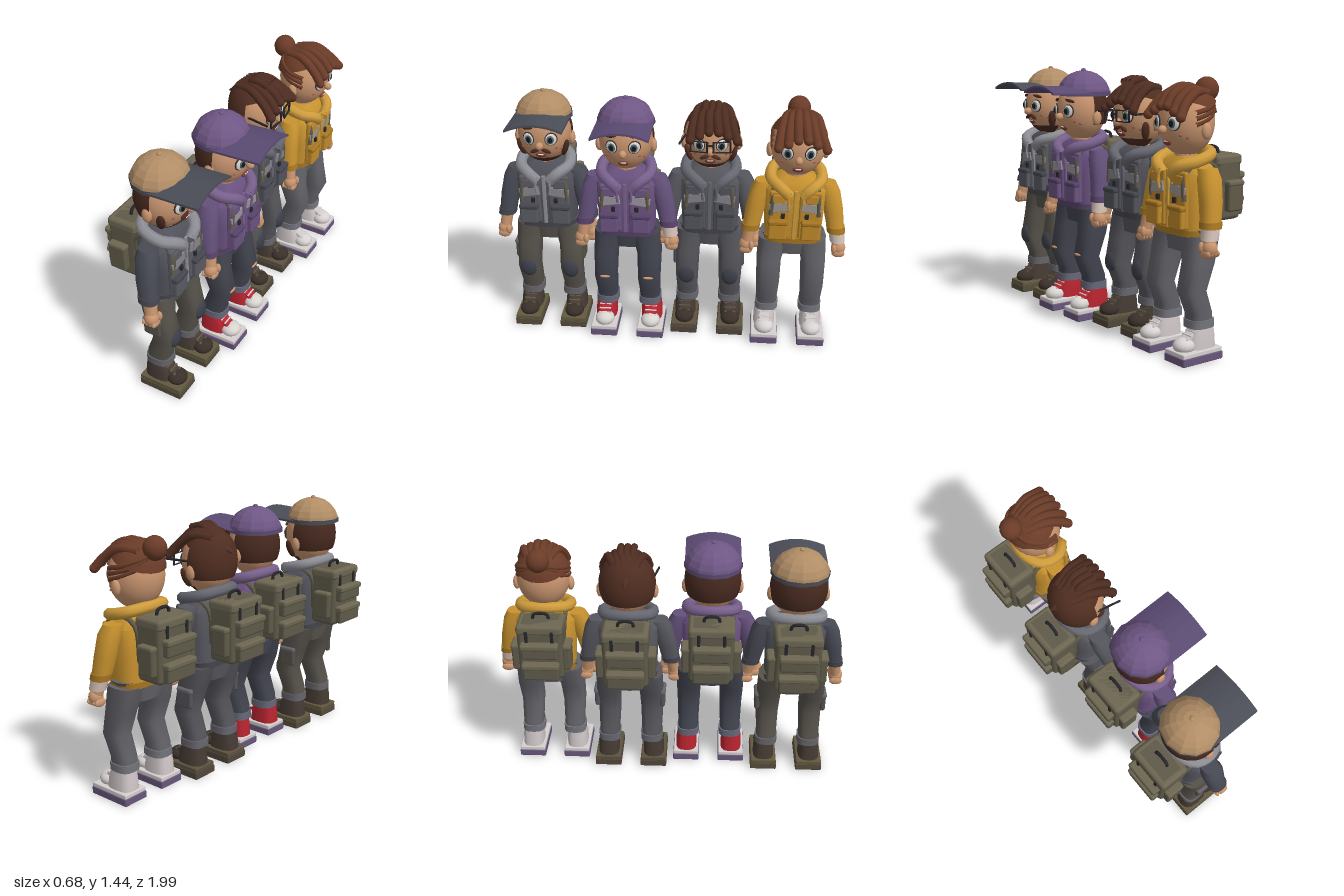
import * as THREE from 'three';
import { toCreasedNormals } from 'three/addons/utils/BufferGeometryUtils.js';
import { RoundedBoxGeometry } from 'three/addons/geometries/RoundedBoxGeometry.js';

const mats = {};
const mat = (c, flat = false) => (mats[c + '_' + flat] ??=
  new THREE.MeshStandardMaterial({ color: c, flatShading: flat, side: THREE.DoubleSide }));

function add(group, name, geo, color, p = [0, 0, 0], r = [0, 0, 0], s = [1, 1, 1], flat = false) {
  const m = new THREE.Mesh(geo, mat(color, flat));
  m.name = name;
  m.position.set(...p); m.rotation.set(...r); m.scale.set(...s);
  group.add(m);
  return m;
}
const box = (w, h, d, r = 0.012) => new RoundedBoxGeometry(w, h, d, 1, r);
const ball = new THREE.SphereGeometry(1, 16, 12);
const tube = (pts, r, n = 14) =>
  new THREE.TubeGeometry(new THREE.CatmullRomCurve3(pts.map(p => new THREE.Vector3(...p))), n, r, 8);

// Closed skin over stacked superellipse rings [y, cx, cz, rx, rz]
function loft(rings, e = 0.7, n = 16) {
  const pos = [], idx = [], pw = v => Math.sign(v) * Math.abs(v) ** e;
  rings.forEach(([y, cx, cz, rx, rz]) => {
    for (let j = 0; j < n; j++) {
      const t = j / n * Math.PI * 2;
      pos.push(cx + rx * pw(Math.cos(t)), y, cz + rz * pw(Math.sin(t)));
    }
  });
  const last = rings.length - 1, c0 = n * rings.length;
  for (const [y, cx, cz] of [rings[0], rings[last]]) pos.push(cx, y, cz);
  for (let j = 0; j < n; j++) {
    const k = (j + 1) % n;
    for (let i = 0; i < last; i++) {
      const a = i * n + j, b = i * n + k;
      idx.push(a, a + n, b, b, a + n, b + n);
    }
    idx.push(c0, j, k, c0 + 1, last * n + k, last * n + j);
  }
  const g = new THREE.BufferGeometry();
  g.setAttribute('position', new THREE.Float32BufferAttribute(pos, 3));
  g.setIndex(idx);
  return toCreasedNormals(g, 0.8);
}

// Head ellipsoid and a helper for placing features on its front
const H = { y: 1.2, z: -0.02, rx: 0.148, ry: 0.175, rz: 0.143 };
const faceZ = (x, y) => H.z + H.rz * Math.sqrt(Math.max(0, 1 - (x / H.rx) ** 2 - ((y - H.y) / H.ry) ** 2));
const SKIN = 0xc9956f, BAG = 0x5f5a49, BAG2 = 0x6d6752, DARK = 0x26262b;

function buildLegs(g, s) {
  for (const m of [-1, 1]) {
    const x = m * 0.125;
    add(g, 'leg', loft([[0.17, x, -0.015, 0.058, 0.066], [0.24, x, -0.012, 0.06, 0.066],
      [0.36, x, 0.035, 0.066, 0.068], [0.5, x, -0.005, 0.07, 0.08], [0.64, m * 0.105, -0.03, 0.085, 0.092]]), s.pants);
    add(g, 'trouserCuff', loft([[0.168, x, -0.015, 0.066, 0.073], [0.21, x, -0.015, 0.066, 0.073]]), s.cuff);
    // Shoe: two-layer sole, heel block, toe cap, tongue and laces
    const fx = m * 0.135;
    add(g, 'sole', box(0.155, 0.042, 0.26, 0.006), s.sole, [fx, 0.021, 0.025]);
    add(g, 'midsole', box(0.15, 0.026, 0.255, 0.006), s.midsole, [fx, 0.052, 0.025]);
    add(g, 'shoeUpper', loft([[0.06, fx, -0.01, 0.062, 0.085], [0.12, fx, -0.012, 0.06, 0.078],
      [0.175, fx, -0.02, 0.054, 0.062]]), s.shoe);
    add(g, 'toeCap', ball, s.toe, [fx, 0.085, 0.09], [0, 0, 0], [0.056, 0.042, 0.058]);
    add(g, 'shoeTongue', box(0.065, 0.03, 0.1), s.shoe, [fx, 0.13, 0.055], [0.6, 0, 0]);
    for (let i = 0; i < 3; i++)
      add(g, 'lace', box(0.07, 0.008, 0.01, 0.003), s.midsole, [fx, 0.153 - i * 0.016, 0.046 + i * 0.023]);
    if (s.cargo) {
      add(g, 'kneePad', ball, 0x3c3f49, [x, 0.365, 0.085], [0, 0, 0], [0.048, 0.056, 0.025]);
      add(g, 'cargoPocket', box(0.03, 0.11, 0.1), s.pants, [m * 0.19, 0.46, -0.01]);
      add(g, 'pocketFlap', box(0.036, 0.03, 0.106), s.cuff, [m * 0.191, 0.505, -0.01]);
    } else if (s.ripped) {
      add(g, 'kneeRip', ball, SKIN, [x, 0.375, 0.098], [0, 0, 0], [0.03, 0.008, 0.008]);
    }
  }
  add(g, 'hips', loft([[0.55, 0, -0.03, 0.1, 0.08], [0.67, 0, -0.03, 0.18, 0.092]]), s.pants);
}

function buildTorso(g, s) {
  add(g, 'jacket', loft([[0.64, 0, -0.025, 0.158, 0.1], [0.8, 0, -0.015, 0.165, 0.108],
    [0.95, 0, -0.02, 0.17, 0.105], [1.0, 0, -0.025, 0.13, 0.085], [1.03, 0, -0.025, 0.07, 0.06]], 0.6), s.top);
  add(g, 'hem', loft([[0.635, 0, -0.025, 0.164, 0.106], [0.668, 0, -0.025, 0.166, 0.108]], 0.6), s.trim);
  add(g, 'neck', new THREE.CylinderGeometry(0.055, 0.06, 0.1, 12), SKIN, [0, 1.03, -0.02]);
  add(g, 'zip', box(0.022, 0.3, 0.014, 0.005), s.collar, [0, 0.82, 0.094]);
  const collar = [[-0.035, 0.94, 0.1], [-0.08, 0.985, 0.1], [-0.135, 1.01, 0.03], [-0.12, 1.04, -0.08]];
  add(g, 'hoodCollar', tube([...collar, [0, 1.055, -0.125],
    ...collar.map(([x, y, z]) => [-x, y, z]).reverse()], 0.032, 28), s.collar);
  for (const m of [-1, 1]) {
    const x = m * 0.09;
    add(g, 'vestPanel', box(0.12, 0.29, 0.03), s.vest, [m * 0.082, 0.82, 0.085]);
    add(g, 'lowerPocket', box(0.105, 0.105, 0.036), s.vest, [x, 0.73, 0.108]);
    add(g, 'pocketFlap', box(0.11, 0.03, 0.042), s.trim, [x, 0.782, 0.11]);
    add(g, 'chestBand', box(0.115, 0.055, 0.012, 0.005), s.band, [m * 0.084, 0.87, 0.1], [0, 0, -m * 0.15]);
    add(g, 'chestPocket', box(0.07, 0.05, 0.016, 0.005), s.vest, [x, 0.92, 0.1]);
    add(g, 'drawstring', tube([[m * 0.03, 0.97, 0.12], [m * 0.04, 0.92, 0.125], [m * 0.035, 0.87, 0.12]], 0.007, 8), s.collar);
    add(g, 'shoulderStrap', tube([[m * 0.1, 0.78, -0.13], [m * 0.115, 0.97, -0.12], [m * 0.115, 1.0, -0.03],
      [m * 0.12, 0.95, 0.085], [m * 0.13, 0.82, 0.095]], 0.014), BAG);
    add(g, 'buckle', box(0.022, 0.03, 0.014, 0.004), DARK, [m * 0.065, 0.82, 0.105]);
  }
}

function buildArms(g, s) {
  for (const m of [-1, 1]) {
    add(g, 'sleeve', loft([[0.7, m * 0.235, 0.015, 0.046, 0.05], [0.82, m * 0.215, -0.002, 0.054, 0.056],
      [0.93, m * 0.19, -0.012, 0.055, 0.06], [0.98, m * 0.165, -0.018, 0.055, 0.046]], 0.8), s.sleeve);
    add(g, 'sleeveCuff', loft([[0.695, m * 0.238, 0.017, 0.051, 0.054], [0.728, m * 0.233, 0.012, 0.051, 0.054]], 0.8), s.trim);
    add(g, 'forearm', loft([[0.61, m * 0.253, 0.035, 0.032, 0.034], [0.71, m * 0.238, 0.018, 0.037, 0.04]], 1, 12), SKIN);
    add(g, 'hand', ball, SKIN, [m * 0.257, 0.6, 0.038], [0, 0, 0], [0.04, 0.042, 0.038]);
    for (let i = 0; i < 4; i++)
      add(g, 'finger', ball, SKIN, [m * 0.257, 0.575, 0.005 + i * 0.02], [0, 0, 0], [0.036, 0.022, 0.012]);
    add(g, 'thumb', ball, SKIN, [m * 0.23, 0.605, 0.068], [0, 0, 0], [0.015, 0.028, 0.016]);
  }
  if (s.wristband)
    add(g, 'wristband', loft([[0.64, 0.249, 0.031, 0.042, 0.044], [0.7, 0.24, 0.02, 0.044, 0.046]], 0.9), 0xd2c0b6);
}

function buildBackpack(g) {
  const b = new THREE.Group(); b.name = 'backpack'; g.add(b);
  add(b, 'bagBody', box(0.25, 0.34, 0.165, 0.025), BAG, [0, 0.86, -0.21]);
  add(b, 'bagLid', box(0.256, 0.06, 0.175, 0.02), BAG2, [0, 1.0, -0.21]);
  for (const [y, h] of [[0.755, 0.1], [0.885, 0.09]]) {
    add(b, 'backPocket', box(0.2, h, 0.05), BAG, [0, y, -0.305]);
    add(b, 'backPocketFlap', box(0.21, 0.035, 0.056), BAG2, [0, y + h / 2 - 0.015, -0.31]);
  }
  for (const m of [-1, 1]) {
    add(b, 'sidePocket', box(0.045, 0.15, 0.1), BAG, [m * 0.14, 0.815, -0.225]);
    add(b, 'sidePocketFlap', box(0.05, 0.03, 0.106), BAG2, [m * 0.142, 0.885, -0.225]);
    add(b, 'lidStrap', box(0.018, 0.07, 0.01, 0.004), DARK, [m * 0.07, 0.965, -0.297]);
  }
  add(b, 'carryHandle', tube([[-0.045, 1.02, -0.2], [-0.035, 1.055, -0.2], [0.035, 1.055, -0.2], [0.045, 1.02, -0.2]], 0.009), DARK);
}

function buildHead(g, s) {
  const h = new THREE.Group(); h.name = 'head'; g.add(h);
  const size = k => [H.rx * k, H.ry * k, H.rz * k], c = [0, H.y, H.z];
  add(h, 'skull', new THREE.SphereGeometry(1, 24, 18), SKIN, c, [0, 0, 0], size(1));
  add(h, 'nose', ball, SKIN, [0, 1.165, 0.133], [0, 0, 0], [0.021, 0.022, 0.024]);
  add(h, 'mouth', ball, 0x7c3d35, [0, 1.1, faceZ(0, 1.1) + 0.004], [0.5, 0, 0], [0.03, 0.016, 0.011]);
  add(h, 'teeth', box(0.03, 0.007, 0.006, 0.002), 0xe8e0d8, [0, 1.106, faceZ(0, 1.1) + 0.014]);
  for (const m of [-1, 1]) {
    const at = (x, y, d) => [m * x, y, faceZ(x, y) + d], tilt = [0, m * 0.4, 0];
    add(h, 'ear', ball, SKIN, [m * 0.15, 1.16, -0.025], [0, 0, 0], [0.02, 0.042, 0.028]);
    add(h, 'eyeRim', ball, 0x39302e, at(0.062, 1.2, 0), tilt, [0.036, 0.038, 0.009]);
    add(h, 'eyeWhite', ball, 0xd9d6d0, at(0.062, 1.199, 0.003), tilt, [0.032, 0.034, 0.011]);
    add(h, 'iris', ball, 0x4d6068, at(0.06, 1.199, 0.01), tilt, [0.021, 0.024, 0.008]);
    add(h, 'pupil', ball, 0x151518, at(0.06, 1.199, 0.015), tilt, [0.013, 0.016, 0.006]);
    add(h, 'eyebrow', ball, s.hair, at(0.065, 1.258, 0.004), [0, m * 0.4, -m * 0.2], [0.033, 0.009, 0.01]);
    for (let i = 0; i < 2; i++)
      add(h, 'freckle', ball, 0xa8604e, at(0.085 + i * 0.022, 1.14 - i * 0.012, 0), tilt, [0.009, 0.007, 0.004]);
    if (s.beard) {
      add(h, 'moustache', ball, s.hair, at(0.028, 1.13, 0.004), [0, 0, -m * 0.4], [0.032, 0.011, 0.012]);
      add(h, 'sideburn', ball, s.hair, [m * 0.122, 1.12, 0.035], [0.25, 0, -m * 0.3], [0.018, 0.055, 0.025]);
    }
    if (s.glasses) {
      add(h, 'lensFrame', new THREE.TorusGeometry(0.05, 0.006, 6, 4).rotateZ(Math.PI / 4), DARK,
        [m * 0.062, 1.2, 0.142], [0, m * 0.15, 0], [1.3, 0.85, 1]);
      add(h, 'glassesArm', box(0.01, 0.012, 0.18, 0.003), DARK, [m * 0.148, 1.215, 0.055], [0, m * 0.2, 0]);
    }
  }
  if (s.glasses) add(h, 'glassesBridge', box(0.034, 0.01, 0.01, 0.003), DARK, [0, 1.208, 0.146]);
  if (s.beard) // jaw shell around the lower front of the face
    add(h, 'beard', new THREE.SphereGeometry(1, 20, 8, Math.PI, -Math.PI, Math.PI * 0.74, Math.PI * 0.26)
      .applyMatrix4(new THREE.Matrix4()), s.hair, c, [0, 0, 0], size(1.035));
  if (s.cap) buildCap(h, s); else buildFringe(h, s);
  if (!s.bun) // hair wrapping the back of the skull
    add(h, 'backHair', new THREE.SphereGeometry(1, 20, 12, Math.PI * 0.96, -Math.PI * 1.0 + Math.PI * 2.08, 0, Math.PI * 0.64)
      .rotateY(0), s.hair, [0, H.y, H.z - 0.004], [0, 0, 0], size(1.06));
}

function buildCap(h, s) {
  const dome = new THREE.SphereGeometry(1, 12, 6, 0, Math.PI * 2, 0, Math.PI / 2);
  add(h, 'capDome', dome, s.cap, [0, 1.285, -0.036], [0, 0, 0], [0.158, 0.14, 0.153], true);
  add(h, 'capBand', new THREE.CylinderGeometry(1.01, 1.01, 0.025, 12, 1, true), s.brim, [0, 1.295, -0.036], [0, 0, 0], [0.158, 1, 0.153]);
  add(h, 'capButton', ball, s.cap, [0, 1.427, -0.036], [0, 0, 0], [0.014, 0.01, 0.014]);
  // Brim plate arched down towards both sides
  const brim = new THREE.BoxGeometry(0.31, 0.012, 0.3, 8, 1, 1), p = brim.attributes.position;
  for (let i = 0; i < p.count; i++) {
    const u = p.getX(i) / 0.155;
    p.setY(i, p.getY(i) - 0.035 * u * u);
  }
  brim.computeVertexNormals();
  add(h, 'capBrim', brim, s.brim, [0, 1.333, 0.12], [-0.04, 0, 0], [1, 1, 1], true);
}

function buildFringe(h, s) {
  // Crown shell tipped back, then thick locks swept forward over the brow
  add(h, 'crownHair', new THREE.SphereGeometry(1, 20, 8, 0, Math.PI * 2, 0, Math.PI * 0.36), s.hair,
    [0, H.y, H.z], [-0.3, 0, 0], [H.rx * 1.06, H.ry * 1.05, H.rz * 1.08]);
  for (let i = 0; i < 6; i++) {
    const x = -0.1 + i * 0.044, drop = Math.abs(x - 0.01) * 0.55;
    add(h, 'hairLock', tube([[x * 0.5, 1.34, -0.1], [x * 0.8, 1.378 - drop * 0.5, 0],
      [x, 1.35 - drop, 0.09], [x * 1.15 + 0.005, 1.295 - drop, 0.135]], 0.025), s.hair);
    add(h, 'lockTip', ball, s.hair, [x * 1.15 + 0.005, 1.295 - drop, 0.135], [0, 0, 0], [0.025, 0.025, 0.025]);
  }
  if (s.bun) {
    add(h, 'hairBun', ball, s.hair, [0, 1.355, -0.155], [0, 0, 0], [0.062, 0.064, 0.062]);
    add(h, 'bunTie', new THREE.TorusGeometry(0.035, 0.012, 6, 12), 0x3c251d, [0, 1.325, -0.115], [0.7, 0, 0]);
    for (const m of [-1, 1]) for (let i = 0; i < 3; i++) // strands combed back along the sides
      add(h, 'combedStrand', tube([[m * 0.135, 1.25 - i * 0.03, 0.035], [m * 0.135, 1.27 - i * 0.025, -0.05],
        [m * 0.09, 1.3 - i * 0.02, -0.12], [m * 0.02, 1.32, -0.145]], 0.013), s.hair);
  } else {
    for (let i = -1; i <= 1; i++)
      add(h, 'quiff', tube([[i * 0.03, 1.34, -0.06], [i * 0.034, 1.39, -0.01], [i * 0.036, 1.375, 0.07]], 0.02), s.hair);
    add(h, 'napePoint', new THREE.ConeGeometry(0.075, 0.1, 6), s.hair, [0, 1.28, -0.145], [-1.9, 0, 0], [1, 1, 0.8], true);
  }
}

const people = [
  { name: 'tanCapHiker', z: 0.7, x: 0, top: 0x50515a, sleeve: 0x484a55, vest: 0x5a5b63, trim: 0x45464e, collar: 0x8d8d95,
    band: 0x8a868a, pants: 0x56524b, cuff: 0x66646a, shoe: 0x463b34, toe: 0x3a302a, sole: 0x554c3b, midsole: 0x62593f,
    hair: 0x46291f, cap: 0xb18d66, brim: 0x4b4d57, beard: true, cargo: true },
  { name: 'purpleCapHiker', z: 0.235, x: 0.07, top: 0x6a5180, sleeve: 0x64507a, vest: 0x6c5482, trim: 0x574269, collar: 0x78608c,
    band: 0x9a949c, pants: 0x42444f, cuff: 0x666878, shoe: 0xb8242f, toe: 0xd8d4d0, sole: 0x69567c, midsole: 0xd6d0d0,
    hair: 0x46291f, cap: 0x6f5785, brim: 0x5a4a72, ripped: true, wristband: true },
  { name: 'glassesHiker', z: -0.23, x: 0, top: 0x56565e, sleeve: 0x56565e, vest: 0x53545c, trim: 0x45464e, collar: 0x666770,
    band: 0x85828a, pants: 0x55555b, cuff: 0x66666e, shoe: 0x463b34, toe: 0x3a302a, sole: 0x50463a, midsole: 0x5c523f,
    hair: 0x4f2d21, beard: true, cargo: true, glasses: true },
  { name: 'yellowHoodieHiker', z: -0.7, x: 0.07, top: 0xc8922f, sleeve: 0xc8922f, vest: 0xc08a2a, trim: 0xa87722, collar: 0xcf9c3c,
    band: 0x9c9690, pants: 0x616167, cuff: 0x74747c, shoe: 0xcfc6c6, toe: 0xd8d2d2, sole: 0x69567c, midsole: 0xd6d0d0,
    hair: 0x6b3c28, bun: true, wristband: true },
];

export function createModel() {
  const model = new THREE.Group();
  model.name = 'hikers';
  for (const s of people) {
    const g = new THREE.Group();
    g.name = s.name;
    g.position.set(s.x, 0, s.z);
    g.rotation.y = Math.PI / 2; // each figure is built facing +z and turned to +x
    for (const build of [buildLegs, buildTorso, buildArms, buildBackpack, buildHead]) build(g, s);
    model.add(g);
  }
  return model;
}
